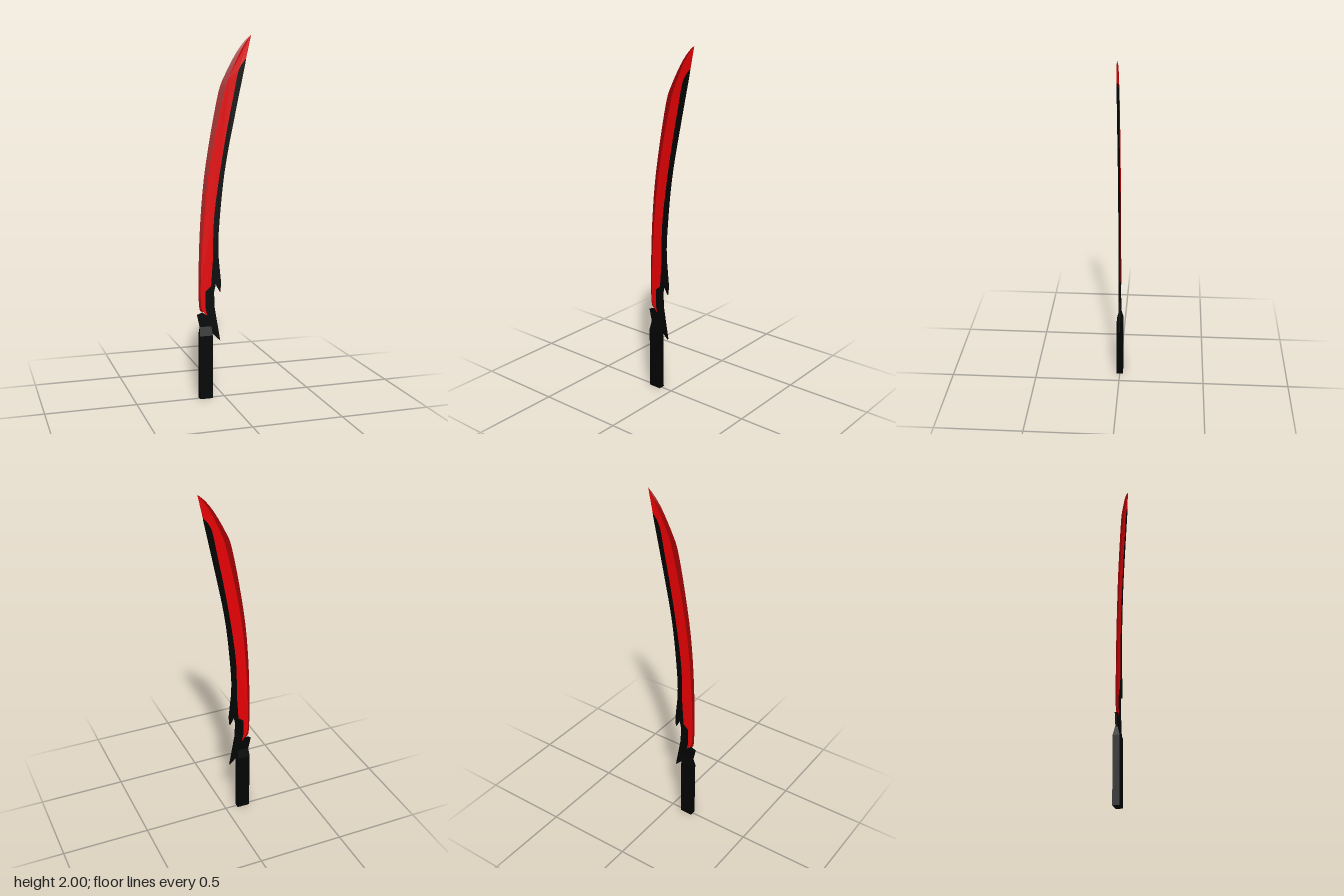
import * as THREE from 'three';

const HALF = 0.005; // half thickness of the blade

// smooth curve through a few points
const smooth = (points) => new THREE.SplineCurve(points.map(([x, y]) => new THREE.Vector2(x, y)))
  .getPoints(30).map((v) => [v.x, v.y]);

// cutting edge and the ridge line where its bevel ends, from heel to tip
const edge = smooth([[-0.132, 0.495], [-0.146, 0.535], [-0.146, 0.76], [-0.136, 1.0], [-0.115, 1.235],
  [-0.078, 1.47], [-0.034, 1.69], [-0.003, 1.775], [0.061, 1.895], [0.112, 1.965], [0.151, 2.0]]);
const ridge = smooth([[-0.122, 0.495], [-0.136, 0.545], [-0.133, 0.76], [-0.118, 1.0], [-0.093, 1.235],
  [-0.052, 1.47], [-0.002, 1.69], [0.025, 1.775], [0.08, 1.895], [0.122, 1.965], [0.151, 2.0]]);
// seam between the red blade and the black spine, from top to heel
const seam = [
  ...smooth([[0.122, 1.875], [0.08, 1.81], [0.048, 1.66], [0.006, 1.45], [-0.034, 1.21], [-0.06, 1.0], [-0.066, 0.785]]),
  [-0.077, 0.636], [-0.108, 0.61], [-0.108, 0.51], [-0.098, 0.47]];
// guard and barbs, then the outside of the spine, from heel to top
const spineOutline = [
  [-0.125, 0.49], [-0.156, 0.478], [-0.14, 0.405], [-0.143, 0.37], [-0.072, 0.37],
  [-0.024, 0.323], [-0.056, 0.51], [-0.06, 0.6], [-0.05, 0.646], [-0.024, 0.6], [-0.019, 0.65],
  ...smooth([[-0.034, 0.8], [-0.034, 0.917], [-0.013, 1.155], [0.013, 1.34], [0.061, 1.58], [0.118, 1.85]])];

// the blade thins to nothing at the tip
const thinning = (y) => Math.min(1, (2.0 - y) / 0.04 + 0.02);

// flat plate cut from an outline
function plate(points) {
  const shape = new THREE.Shape(points.map(([x, y]) => new THREE.Vector2(x, y)));
  const geo = new THREE.ExtrudeGeometry(shape, { depth: HALF * 2, bevelEnabled: false });
  geo.translate(0, 0, -HALF);
  const p = geo.attributes.position;
  for (let i = 0; i < p.count; i++) p.setZ(i, p.getZ(i) * thinning(p.getY(i)));
  geo.computeVertexNormals();
  return geo;
}

// sloping strip from the sharp edge up to the ridge, on both faces
function bevelStrip() {
  const pos = [];
  const tri = (a, b, c, side) => pos.push(...a, ...(side > 0 ? [...b, ...c] : [...c, ...b]));
  for (const side of [1, -1]) {
    const outer = (i) => [...edge[i], 0];
    const inner = (i) => [...ridge[i], side * HALF * thinning(ridge[i][1])];
    for (let i = 0; i < edge.length - 1; i++) {
      tri(outer(i), inner(i), inner(i + 1), side);
      tri(outer(i), inner(i + 1), outer(i + 1), side);
    }
  }
  const geo = new THREE.BufferGeometry();
  geo.setAttribute('position', new THREE.Float32BufferAttribute(pos, 3));
  geo.computeVertexNormals();
  return geo;
}

// box grip whose top shoulders narrow to the blade thickness
function gripGeometry() {
  const geo = new THREE.BoxGeometry(0.074, 0.41, 0.037, 1, 2, 1).toNonIndexed();
  geo.translate(-0.108, 0.205, 0);
  const p = geo.attributes.position;
  for (let i = 0; i < p.count; i++) {
    const y = p.getY(i);
    if (y > 0.3) {
      p.setZ(i, Math.sign(p.getZ(i)) * (HALF + 0.0005));
      p.setX(i, -0.108 + Math.sign(p.getX(i) + 0.108) * 0.032);
    } else if (y > 0.1) p.setY(i, 0.36);
  }
  geo.computeVertexNormals();
  return geo;
}

export function createModel() {
  const material = (name, color) => {
    const m = new THREE.MeshStandardMaterial({ color, side: THREE.DoubleSide });
    m.name = name;
    return m;
  };
  const red = material('bright red', 0xe60003);
  const darkRed = material('dark red', 0x9c0204);
  const black = material('black', 0x020303);

  const group = new THREE.Group();
  group.name = 'sword';
  const add = (name, geo, mat) => {
    const mesh = new THREE.Mesh(geo, mat);
    mesh.name = name;
    group.add(mesh);
  };

  add('bladeBody', plate([...ridge, ...seam]), red);
  add('cuttingEdge', bevelStrip(), darkRed);
  add('spineAndGuard', plate([...spineOutline, ...seam]), black);
  add('grip', gripGeometry(), black);
  return group;
}
